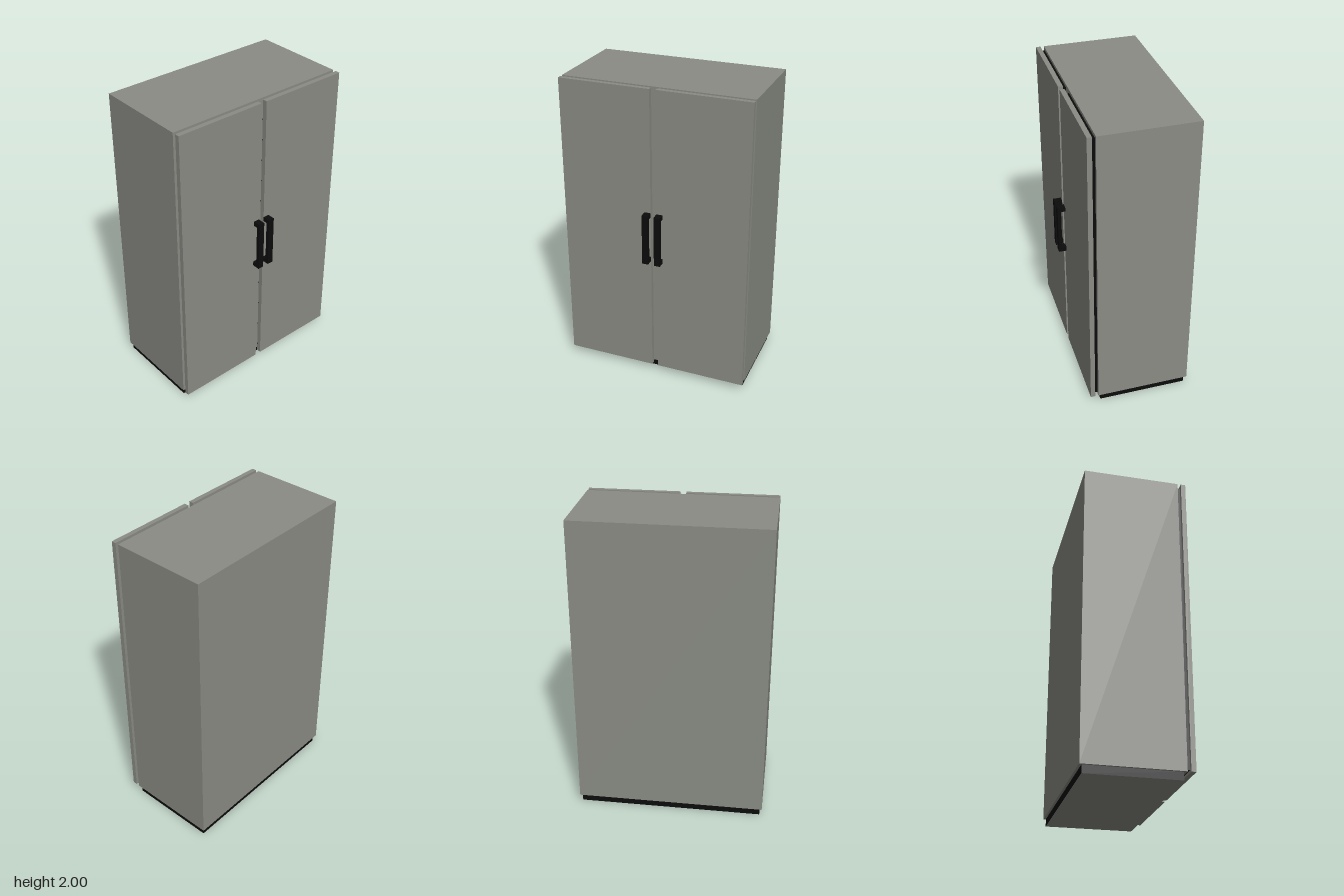
import * as THREE from 'three';

const steel = new THREE.MeshStandardMaterial({ color: 0x8a8c84 });
const black = new THREE.MeshStandardMaterial({ color: 0x0c0c0c });

// Box given by its [min, max] extents on each axis
function box(parent, name, material, [x0, x1], [y0, y1], [z0, z1]) {
  const mesh = new THREE.Mesh(new THREE.BoxGeometry(x1 - x0, y1 - y0, z1 - z0), material);
  mesh.position.set((x0 + x1) / 2, (y0 + y1) / 2, (z0 + z1) / 2);
  mesh.name = name;
  parent.add(mesh);
  return mesh;
}

export function createModel() {
  const model = new THREE.Group();
  model.name = 'refrigerator';

  // Cabinet on a recessed plinth with a steel underside
  box(model, 'cabinet', steel, [-0.36, 0.257], [0.05, 2], [-0.617, 0.617]);
  const plinth = box(model, 'plinth', black, [-0.345, 0.24], [0, 0.05], [-0.602, 0.602]);
  plinth.material = [black, black, black, steel, black, black];

  // Two mirrored doors, each with a seal and a handle
  for (const side of [1, -1]) {
    const door = new THREE.Group();
    door.name = side > 0 ? 'leftDoor' : 'rightDoor';
    const span = (a, b) => (side > 0 ? [a, b] : [-b, -a]);

    box(door, 'doorSeal', black, [0.257, 0.279], [0.065, 1.98], span(0.04, 0.597));
    box(door, 'doorPanel', steel, [0.279, 0.309], [0.05, 2], span(0.02, 0.617));

    const handle = new THREE.Group();
    handle.name = 'handle';
    const width = span(0.02, 0.06);
    box(handle, 'handleBar', black, [0.337, 0.36], [0.855, 1.195], width);
    for (const y of [0.855, 1.165]) {
      box(handle, 'handlePost', black, [0.309, 0.337], [y, y + 0.03], width);
    }
    door.add(handle);
    model.add(door);
  }

  return model;
}
